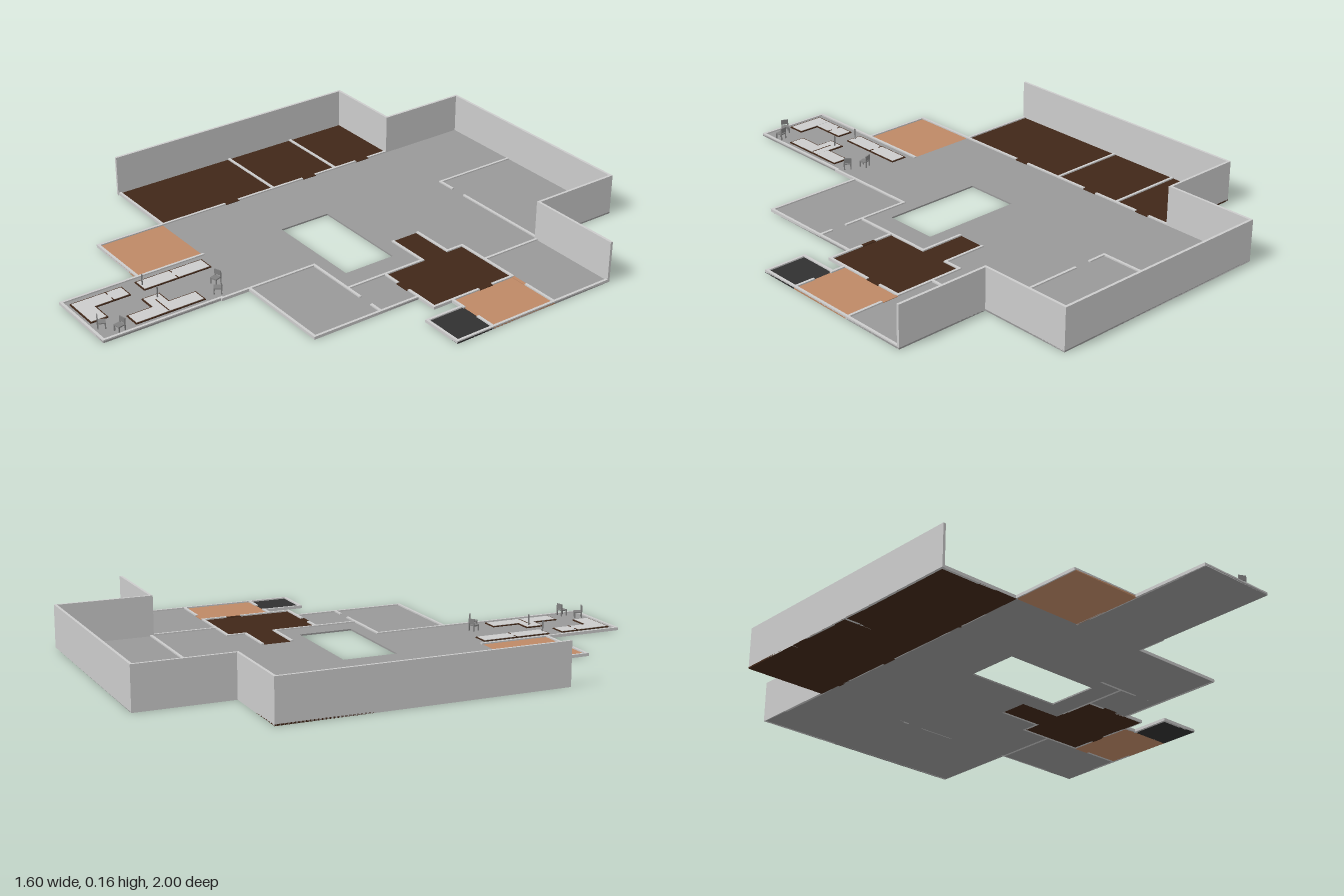
import * as THREE from 'three';

const mat = (color) => new THREE.MeshStandardMaterial({ color, side: THREE.DoubleSide });
const FLOOR_Y = 0.006, LOW_Y = 0.011, TALL_Y = 0.16, T = 0.01;

export function createModel() {
  const model = new THREE.Group();
  const wallMat = mat(0xcccccc), stone = mat(0x989898), wood = mat(0x402718);
  const clay = mat(0xbd8865), slate = mat(0x303030), chairMat = mat(0x808080);

  const group = (name, parent = model) => {
    const g = new THREE.Group();
    g.name = name;
    parent.add(g);
    return g;
  };

  // box given by its two corners in plan and its bottom and top
  function block(parent, name, material, x0, x1, z0, z1, y0, y1) {
    const m = new THREE.Mesh(new THREE.BoxGeometry(x1 - x0, y1 - y0, z1 - z0), material);
    m.position.set((x0 + x1) / 2, (y0 + y1) / 2, (z0 + z1) / 2);
    m.name = name;
    parent.add(m);
    return m;
  }

  // flat slab from an outline in (x, z), with optional holes
  function slab(parent, name, material, outline, y0, y1, holes = []) {
    const toPoints = (list) => list.map(([x, z]) => new THREE.Vector2(x, z));
    const shape = new THREE.Shape(toPoints(outline));
    holes.forEach((h) => shape.holes.push(new THREE.Path(toPoints(h))));
    const geo = new THREE.ExtrudeGeometry(shape, { depth: y1 - y0, bevelEnabled: false });
    geo.rotateX(Math.PI / 2).translate(0, y1, 0);
    const m = new THREE.Mesh(geo, material);
    m.name = name;
    parent.add(m);
  }

  // wall along an axis between two points of its centre line
  function wall(parent, name, [x0, z0, x1, z1], y0, y1) {
    const h = T / 2;
    block(parent, name, wallMat, x0 - h, x1 + h, z0 - h, z1 + h, y0, y1);
  }

  // floors
  const floors = group('floors');
  slab(floors, 'mainFloor', stone, [
    [-0.475, -1], [0.43, -1], [0.43, -0.64], [0.8, -0.64], [0.8, -0.38], [0.305, -0.38],
    [0.305, -0.31], [0.13, -0.31], [0.13, -0.2], [0.305, -0.2], [0.305, -0.025],
    [0.5, -0.025], [0.5, 0.42], [0.105, 0.42], [0.105, 1], [-0.195, 1], [-0.195, 0.42],
    [-0.475, 0.42],
  ], 0, FLOOR_Y, [[[-0.185, -0.13], [0.215, -0.13], [0.215, 0.08], [-0.185, 0.08]]]);
  slab(floors, 'hallFloor', wood, [
    [0.13, -0.31], [0.305, -0.31], [0.305, -0.38], [0.58, -0.38], [0.58, -0.025],
    [0.305, -0.025], [0.305, -0.2], [0.13, -0.2],
  ], 0, FLOOR_Y);
  block(floors, 'sideRoomsFloor', wood, -0.8, -0.475, -0.64, 0.42, 0, FLOOR_Y);
  block(floors, 'frontTerraceFloor', clay, -0.475, -0.195, 0.42, 0.695, 0, FLOOR_Y);
  block(floors, 'sideTerraceFloor', clay, 0.58, 0.8, -0.38, -0.105, 0, FLOOR_Y);
  block(floors, 'storeFloor', slate, 0.635, 0.8, -0.105, 0.055, 0, FLOOR_Y);

  // wooden doorsteps
  const steps = group('doorsteps');
  for (const z of [-0.51, -0.25, 0.11])
    block(steps, 'doorstep', wood, -0.482, -0.468, z - 0.03, z + 0.03, 0, FLOOR_Y + 0.002);
  block(steps, 'doorstep', wood, 0.573, 0.587, -0.285, -0.225, 0, FLOOR_Y + 0.002);
  block(steps, 'doorstep', wood, 0.38, 0.44, -0.03, -0.016, 0, FLOOR_Y + 0.002);
  block(steps, 'doorstep', clay, 0.585, 0.65, -0.386, -0.374, 0, FLOOR_Y + 0.002);

  // full-height outer walls
  const tall = group('outerWalls');
  [
    [-0.795, -0.635, -0.795, 0.42], [-0.795, -0.635, -0.475, -0.635],
    [-0.475, -0.995, -0.475, -0.635], [-0.475, -0.995, 0.425, -0.995],
    [0.425, -0.995, 0.425, -0.635], [0.425, -0.635, 0.795, -0.635],
  ].forEach((w) => wall(tall, 'outerWall', w, 0, TALL_Y));

  // low wall bases, as [x0, z0, x1, z1]
  const low = group('lowWalls');
  const lowWalls = [
    // side rooms
    [-0.795, -0.38, -0.475, -0.38], [-0.795, -0.083, -0.475, -0.083], [-0.795, 0.417, -0.475, 0.417],
    [-0.475, -0.635, -0.475, -0.545], [-0.475, -0.475, -0.475, -0.285],
    [-0.475, -0.215, -0.475, 0.075], [-0.475, 0.145, -0.475, 0.69],
    // front terrace and front room
    [-0.475, 0.69, -0.195, 0.69], [-0.195, 0.42, -0.195, 0.995],
    [-0.195, 0.995, 0.1, 0.995], [0.105, 0.14, 0.105, 0.53], [0.1, 0.53, 0.1, 0.995],
    // rooms on the left of the court
    [0.105, 0.14, 0.375, 0.14], [0.445, 0.14, 0.495, 0.14], [0.495, -0.025, 0.495, 0.417],
    [0.105, 0.417, 0.495, 0.417], [0.305, -0.195, 0.305, 0.135],
    // wooden hall and passage
    [0.135, -0.195, 0.305, -0.195], [0.135, -0.31, 0.305, -0.31], [0.305, -0.38, 0.305, -0.31],
    [0.305, -0.38, 0.58, -0.38], [0.58, -0.38, 0.58, -0.29], [0.58, -0.22, 0.58, -0.025],
    [0.305, -0.025, 0.375, -0.025], [0.445, -0.025, 0.58, -0.025],
    // side terrace, store and corner room
    [0.655, -0.38, 0.795, -0.38], [0.795, -0.635, 0.795, 0.05], [0.58, -0.105, 0.64, -0.105],
    [0.72, -0.105, 0.795, -0.105], [0.635, -0.105, 0.635, 0.05], [0.635, 0.05, 0.795, 0.05],
    [0.43, -0.635, 0.43, -0.38],
    // back room
    [-0.135, -0.995, -0.135, -0.64], [-0.135, -0.64, -0.065, -0.64], [0.01, -0.64, 0.425, -0.64],
  ];
  lowWalls.forEach((w) => wall(low, 'lowWall', w, 0, LOW_Y));

  // flat counters: wooden border with a pale top
  const counters = group('counters');
  const rect = (x0, x1, z0, z1) => [[x0, z0], [x1, z0], [x1, z1], [x0, z1]];
  function counter(parts) {
    const b = 0.005;
    parts.forEach(([x0, x1, z0, z1], i) => {
      const lift = i * 0.0004;
      slab(counters, 'counterBorder', wood, rect(x0, x1, z0, z1), FLOOR_Y, 0.0095 + lift);
    });
    parts.forEach(([x0, x1, z0, z1], i) => {
      slab(counters, 'counterTop', wallMat, rect(x0 + b, x1 - b, z0 + b, z1 - b), FLOOR_Y, 0.011 + i * 0.0004);
    });
  }
  counter([[-0.167, -0.1, 0.443, 0.72]]);
  counter([[0.012, 0.077, 0.58, 0.857], [-0.053, 0.077, 0.688, 0.76]]);
  counter([[-0.167, -0.1, 0.773, 0.978], [-0.167, -0.018, 0.91, 0.978]]);

  // dark dashes across the counters
  [[-0.133, 0.58], [-0.133, 0.84]].forEach(([x, z]) => {
    for (const d of [-0.022, 0.022])
      block(counters, 'counterJoint', wood, x + d - 0.009, x + d + 0.009, z - 0.002, z + 0.002, FLOOR_Y, 0.012);
  });
  block(counters, 'counterJoint', wood, -0.02, 0.07, 0.721, 0.725, FLOOR_Y, 0.012);

  // thin posts at the counter ends
  for (const x of [-0.133, -0.03])
    block(counters, 'counterPost', chairMat, x - 0.002, x + 0.002, 0.707, 0.711, FLOOR_Y, 0.053);

  // chairs
  const chairs = group('chairs');
  [[0, 0.49, 0.35], [0.06, 0.52, -0.6], [0.075, 0.92, 0.2], [0.022, 0.958, 2.7]].forEach(([x, z, turn]) => {
    const c = group('chair', chairs);
    block(c, 'chairSeat', chairMat, -0.014, 0.014, -0.014, 0.014, 0.026, 0.03);
    block(c, 'chairBack', chairMat, -0.014, 0.014, -0.016, -0.012, 0.034, 0.053);
    for (const sx of [-1, 1]) {
      block(c, 'chairBackPost', chairMat, sx * 0.012 - 0.002, sx * 0.012 + 0.002, -0.016, -0.012, FLOOR_Y, 0.053);
      block(c, 'chairFrontLeg', chairMat, sx * 0.012 - 0.002, sx * 0.012 + 0.002, 0.01, 0.014, FLOOR_Y, 0.026);
    }
    c.position.set(x, 0, z);
    c.rotation.y = turn;
  });

  return model;
}
